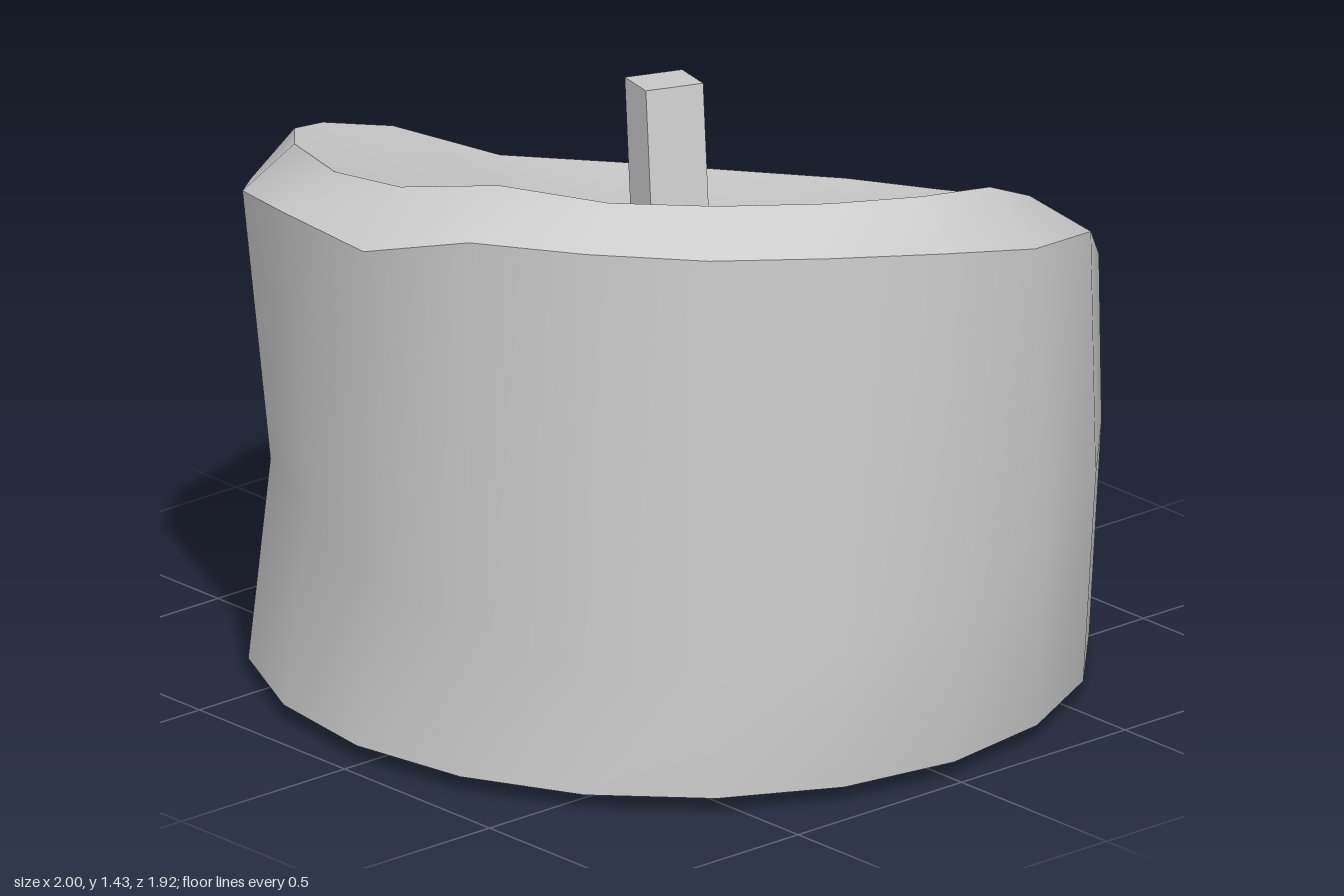
import * as THREE from 'three';

const N = 20;
const material = new THREE.MeshStandardMaterial({ color: 0xcccccc });

// Ring of N points around (cx, cz); skew stretches it along one diagonal.
// heights is a list or a function of the angle.
function ring(cx, cz, rx, rz, skew, heights) {
  return Array.from({ length: N }, (_, i) => {
    const t = (i / N) * Math.PI * 2;
    const d = skew * Math.sin(2 * t);
    const y = Array.isArray(heights) ? heights[i] : heights(t);
    return [cx + (rx - d) * Math.cos(t), y, cz + (rz - d) * Math.sin(t)];
  });
}

function surface(name, points, index) {
  const geo = new THREE.BufferGeometry();
  geo.setAttribute('position', new THREE.Float32BufferAttribute(points.flat(), 3));
  geo.setIndex(index);
  geo.computeVertexNormals();
  const mesh = new THREE.Mesh(geo, material);
  mesh.name = name;
  return mesh;
}

// Smooth band through rings ordered from the bottom up
function band(name, rings) {
  const index = [];
  for (let r = 0; r < rings.length - 1; r++) {
    for (let i = 0; i < N; i++) {
      const j = (i + 1) % N;
      const a = r * N + i, b = r * N + j;
      index.push(a, a + N, b, b, a + N, b + N);
    }
  }
  return surface(name, rings.flat(), index);
}

// Fan from a ring to one centre point
function fan(name, points, centre, up) {
  const index = [];
  for (let i = 0; i < N; i++) {
    const j = (i + 1) % N;
    index.push(...(up ? [i, N, j] : [i, j, N]));
  }
  return surface(name, [...points, centre], index);
}

export function createModel() {
  const group = new THREE.Group();
  group.name = 'candle';

  // Cross-sections, starting at +x and going round by the front
  const foot = ring(-0.015, -0.005, 0.985, 0.955, 0, () => 0.04);
  const waist = ring(0.05, 0, 0.95, 0.92, 0.025,
    (t) => 0.48 - 0.035 * Math.cos(t) - 0.045 * Math.sin(t) - 0.09 * Math.sin(2 * t));
  const shoulder = ring(0.02, 0.02, 0.94, 0.94, 0.047, [
    1.29, 1.33, 1.345, 1.355, 1.35, 1.265, 1.27, 1.21, 1.12, 1.03,
    0.95, 0.8, 0.73, 0.71, 0.73, 0.8, 0.87, 0.98, 1.155, 1.22]);
  const rimHeights = [
    1.37, 1.405, 1.42, 1.425, 1.435, 1.385, 1.345, 1.315, 1.26, 1.18,
    1.09, 0.95, 0.9, 0.88, 0.9, 0.94, 1.01, 1.09, 1.21, 1.32];
  const rimPlan = [
    [0.81, -0.05], [0.77, 0.2], [0.64, 0.43], [0.47, 0.61], [0.24, 0.74],
    [0, 0.83], [-0.25, 0.81], [-0.5, 0.71], [-0.68, 0.55], [-0.82, 0.34],
    [-0.87, 0.08], [-0.84, -0.22], [-0.72, -0.48], [-0.54, -0.68], [-0.3, -0.8],
    [-0.02, -0.85], [0.24, -0.81], [0.48, -0.69], [0.66, -0.51], [0.77, -0.29]];
  const rim = rimPlan.map(([x, z], i) => [x, rimHeights[i], z]);

  // Wax body
  group.add(
    fan('base', foot, [0, 0, 0], false),
    band('wall', [foot, waist, shoulder]),
    band('rim', [shoulder, rim]),
    fan('meltedHollow', rim, [0, 0.95, 0], true),
  );

  // Square, leaning wick
  const wick = new THREE.Mesh(new THREE.BoxGeometry(0.14, 0.54, 0.14), material);
  wick.name = 'wick';
  wick.position.set(-0.02, 1.145, -0.01);
  wick.rotation.set(0, -0.37, 0.12, 'YXZ');
  group.add(wick);

  return group;
}
